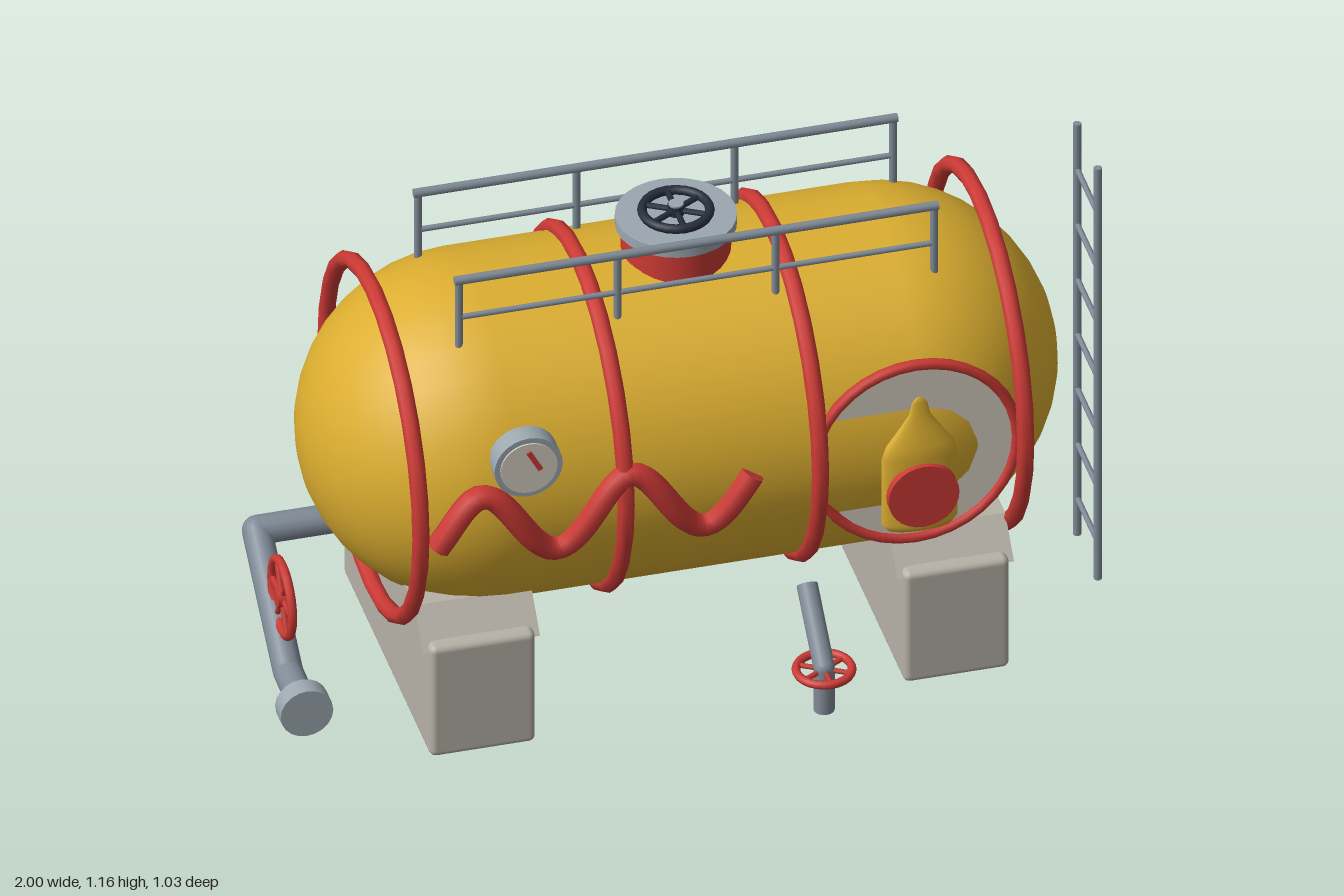
import * as THREE from 'three';
import { RoundedBoxGeometry } from 'three/addons/geometries/RoundedBoxGeometry.js';

const mat = (name, color) => Object.assign(new THREE.MeshStandardMaterial({ color }), { name });
const V = (x, y, z) => new THREE.Vector3(x, y, z);

export function createModel() {
  const model = new THREE.Group();
  model.name = 'storageTank';
  const yellow = mat('tankYellow', 0xdcae30);
  const red = mat('trimRed', 0xcd3a35);
  const steel = mat('steel', 0x808b97);
  const lightSteel = mat('lightSteel', 0x9ca7af);
  const dark = mat('darkIron', 0x262e3c);
  const concrete = mat('concrete', 0xb7b2a7);
  const cream = mat('cream', 0xd6cfc0);

  // Tank axis
  const CX = 0.035, CY = 0.63, CZ = -0.087, R = 0.4;

  const add = (parent, name, geo, material, x = 0, y = 0, z = 0) => {
    const m = new THREE.Mesh(geo, material);
    m.name = name;
    m.position.set(x, y, z);
    parent.add(m);
    return m;
  };
  const group = (name, parent = model) => {
    const g = new THREE.Group();
    g.name = name;
    parent.add(g);
    return g;
  };
  // Round bar between two points
  const rod = (parent, name, a, b, r, material = steel, sides = 10) => {
    const m = add(parent, name, new THREE.CylinderGeometry(r, r, a.distanceTo(b), sides), material);
    m.position.copy(a).lerp(b, 0.5);
    m.quaternion.setFromUnitVectors(V(0, 1, 0), b.clone().sub(a).normalize());
    return m;
  };
  // Pipe with mitred bends through a list of points
  const pipe = (parent, name, pts, r) => {
    for (let i = 1; i < pts.length; i++) {
      rod(parent, name, pts[i - 1], pts[i], r, steel, 14);
      if (i < pts.length - 1) {
        add(parent, name + 'Elbow', new THREE.SphereGeometry(r, 14, 8), steel, ...pts[i].toArray());
      }
    }
  };
  // Spoked handwheel lying flat
  const handwheel = (name, radius, tube, material, hubMaterial) => {
    const g = group(name);
    add(g, 'rim', new THREE.TorusGeometry(radius, tube, 8, 24).rotateX(Math.PI / 2), material);
    for (let i = 0; i < 3; i++) {
      const a = i * Math.PI / 3 + Math.PI / 6;
      const p = V(Math.cos(a) * radius, 0, Math.sin(a) * radius);
      rod(g, 'spoke', p, p.clone().negate(), tube * 0.65, material, 6);
    }
    add(g, 'hub', new THREE.CylinderGeometry(radius * 0.25, radius * 0.25, tube * 2.6, 12), hubMaterial);
    return g;
  };

  // Tank body and hoops
  add(model, 'tankBody', new THREE.CapsuleGeometry(R, 0.94, 10, 36).rotateZ(Math.PI / 2), yellow, CX, CY, CZ);
  for (const x of [-0.665, -0.19, 0.26, 0.735]) {
    add(model, 'hoop', new THREE.TorusGeometry(0.405, 0.02, 8, 28).rotateY(Math.PI / 2), red, x, CY, CZ);
  }

  // Concrete feet with sloped saddles
  const saddleShape = new THREE.Shape([[-0.36, 0.28], [0.36, 0.28], [0.285, 0.362], [-0.285, 0.362]]
    .map(([u, v]) => new THREE.Vector2(u, v)));
  for (const x of [-0.512, 0.585]) {
    const g = group('foot');
    add(g, 'footBlock', new RoundedBoxGeometry(0.245, 0.3, 0.75, 2, 0.016), concrete, x, 0.15, CZ);
    const saddle = new THREE.ExtrudeGeometry(saddleShape, { depth: 0.27, bevelEnabled: false });
    saddle.translate(0, 0, -0.135).rotateY(Math.PI / 2);
    add(g, 'saddle', saddle, concrete, x, 0, CZ);
  }

  // Manhole with dark handwheel
  const hatch = group('manhole');
  add(hatch, 'neck', new THREE.CylinderGeometry(0.124, 0.124, 0.12, 28), red, CX, 1.035, CZ);
  add(hatch, 'flange', new THREE.CylinderGeometry(0.137, 0.137, 0.025, 28), lightSteel, CX, 1.102, CZ);
  handwheel('hatchWheel', 0.076, 0.011, dark, dark).position.set(CX, 1.125, CZ);
  add(hatch, 'hubCap', new THREE.CylinderGeometry(0.017, 0.017, 0.032, 12), lightSteel, CX, 1.127, CZ);

  // Guard rails
  for (const z of [0.088, -0.262]) {
    const g = group('guardRail');
    for (const x of [-0.515, -0.148, 0.218, 0.585]) {
      rod(g, 'post', V(x, 0.965, z), V(x, 1.155, z), 0.009);
    }
    rod(g, 'topRail', V(-0.525, 1.153, z), V(0.595, 1.153, z), 0.011);
    rod(g, 'midRail', V(-0.515, 1.052, z), V(0.585, 1.052, z), 0.007);
  }

  // Ladder
  const ladder = group('ladder');
  for (const z of [0.004, -0.173]) rod(ladder, 'stile', V(0.987, 0, z), V(0.987, 1.125, z), 0.0095);
  for (let i = 0; i < 7; i++) {
    const y = 0.1 + i * 0.15;
    rod(ladder, 'rung', V(0.987, y, 0.004), V(0.987, y, -0.173), 0.0065);
  }

  // End outlet with capped pipe and handwheel
  const outlet = group('endOutlet');
  pipe(outlet, 'outletPipe',
    [V(-0.7, 0.427, CZ), V(-0.935, 0.427, CZ), V(-0.938, 0.23, 0.19), V(-0.938, 0.225, 0.31)], 0.034);
  add(outlet, 'outletFlange', new THREE.CylinderGeometry(0.061, 0.061, 0.048, 20).rotateX(Math.PI / 2),
    lightSteel, -0.938, 0.225, 0.328);
  const sideWheel = handwheel('outletWheel', 0.088, 0.011, red, red);
  sideWheel.rotation.z = Math.PI / 2;
  sideWheel.position.set(-0.938, 0.398, 0.14);

  // Drain pipe with handwheel
  const drain = group('drain');
  pipe(drain, 'drainPipe', [V(0.235, 0.322, 0.295), V(0.235, 0.195, 0.44), V(0.235, 0.08, 0.44)], 0.024);
  handwheel('drainWheel', 0.063, 0.01, red, red).position.set(0.235, 0.19, 0.44);

  // Gauge
  const gauge = group('gauge');
  gauge.position.set(-0.415, 0.778, 0);
  const disc = (r, d) => new THREE.CylinderGeometry(r, r, d, 28).rotateX(Math.PI / 2);
  add(gauge, 'gaugeRim', disc(0.079, 0.05), lightSteel, 0, 0, 0.291);
  add(gauge, 'gaugeFace', disc(0.066, 0.006), cream, 0, 0, 0.317);
  add(gauge, 'needle', new THREE.BoxGeometry(0.012, 0.058, 0.006), red, 0.012, 0.02, 0.322).rotation.z = 0.5;

  // Wavy hose hugging the tank side
  const wave = [];
  for (let i = 0; i <= 32; i++) {
    const x = -0.625 + i * 0.0228;
    const y = 0.625 + 0.085 * Math.cos((x + 0.52) * Math.PI * 2 / 0.342);
    wave.push(V(x, y, CZ + Math.sqrt(R * R - (y - CY) ** 2) + 0.002));
  }
  const hose = group('wavyHose');
  const curve = new THREE.CatmullRomCurve3(wave);
  add(hose, 'hose', new THREE.TubeGeometry(curve, 64, 0.029, 8), red);
  for (const t of [0, 1]) {
    const cap = add(hose, 'hoseEnd', new THREE.CircleGeometry(0.029, 8), red);
    cap.position.copy(curve.getPoint(t));
    cap.quaternion.setFromUnitVectors(V(0, 0, 1), curve.getTangent(t).multiplyScalar(t ? 1 : -1));
  }

  // Round side panel
  const panel = group('sidePanel');
  panel.position.set(0.487, 0.638, 0);
  add(panel, 'panelDisc', disc(0.236, 0.012), cream, 0, 0, 0.286);
  add(panel, 'panelRim', new THREE.TorusGeometry(0.235, 0.013, 8, 36), red, 0, 0, 0.29);

  // Flattened bottle ornament with round red badge
  const profile = [[0, 0.46], [0.074, 0.46], [0.088, 0.478], [0.088, 0.655], [0.078, 0.685],
    [0.05, 0.725], [0.024, 0.765], [0.018, 0.795], [0.008, 0.808], [0, 0.81]]
    .map(([r, y]) => new THREE.Vector2(r, y - 0.638));
  add(panel, 'bottle', new THREE.LatheGeometry(profile, 24).scale(1, 1, 0.31), yellow, 0, 0, 0.326);
  add(panel, 'badge', disc(0.082, 0.02), red, 0, -0.075, 0.355);

  return model;
}
